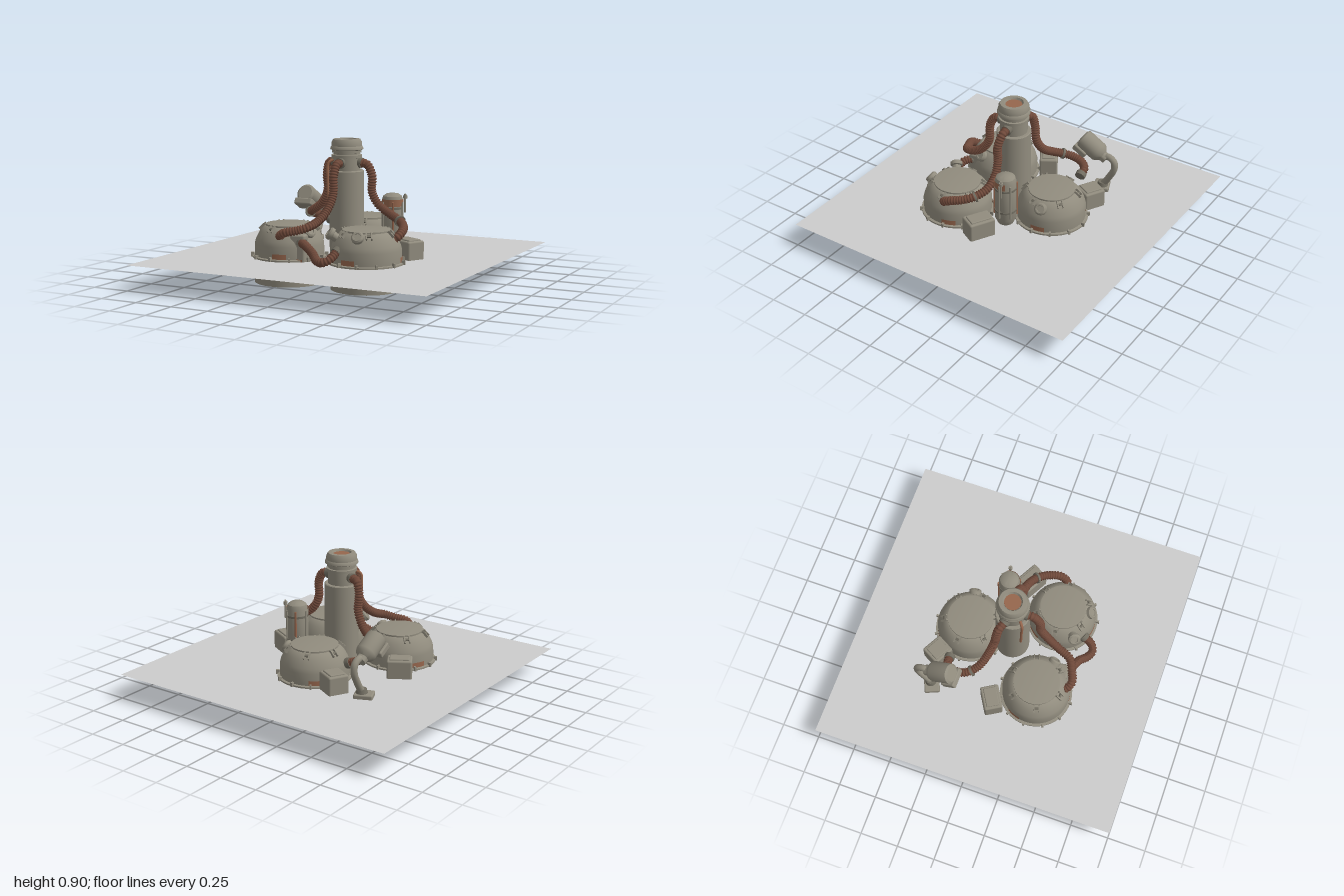
import * as THREE from 'three';
import { RoundedBoxGeometry } from 'three/addons/geometries/RoundedBoxGeometry.js';
import { toCreasedNormals } from 'three/addons/utils/BufferGeometryUtils.js';

const mat = (name, color, side = THREE.FrontSide) => {
  const m = new THREE.MeshStandardMaterial({ color, side });
  m.name = name;
  return m;
};
const V = (a) => new THREE.Vector3(...a);
const UP = new THREE.Vector3(0, 1, 0);

export function createModel() {
  const root = new THREE.Group();
  root.name = 'tankCluster';
  const metal = mat('weathered metal', 0x918c7e);
  const trim = mat('dark metal trim', 0x726e62);
  const hoseBrown = mat('hose brown', 0x704a3b);
  const rust = mat('rust', 0x96664d, THREE.DoubleSide);
  const groundGrey = mat('ground grey', 0xcccccc, THREE.DoubleSide);

  const add = (parent, name, geo, material, pos = [0, 0, 0], rotY = 0) => {
    const m = new THREE.Mesh(geo, material);
    m.name = name;
    m.position.set(...pos);
    m.rotation.y = rotY;
    parent.add(m);
    return m;
  };
  const group = (name, pos = [0, 0, 0], rotY = 0) => {
    const g = new THREE.Group();
    g.name = name;
    g.position.set(...pos);
    g.rotation.y = rotY;
    root.add(g);
    return g;
  };
  const lathe = (pts, seg = 40) =>
    toCreasedNormals(new THREE.LatheGeometry(pts.map((p) => new THREE.Vector2(...p)), seg), 0.6);
  const cyl = (r1, r2, h, seg = 20) => new THREE.CylinderGeometry(r1, r2, h, seg);
  // turn a mesh's +y axis along a direction
  const aim = (mesh, dir) => mesh.quaternion.setFromUnitVectors(UP, V(dir).normalize());

  // ground sheet
  const ground = add(root, 'groundSheet', new THREE.PlaneGeometry(2, 2), groundGrey, [0, 0.16, 0]);
  ground.rotation.x = -Math.PI / 2;

  // three domed tanks with flange, bolts, clips and rust patches
  const tankProfile = [[0, 0], [0.222, 0], [0.222, 0.148], [0.236, 0.15], [0.236, 0.17], [0.22, 0.173],
    [0.22, 0.25], [0.212, 0.28], [0.187, 0.328], [0.16, 0.358], [0.15, 0.362], [0.15, 0.372], [0.138, 0.374], [0, 0.374]];
  const tankGeo = lathe(tankProfile, 48);
  const boltGeo = new THREE.BoxGeometry(0.012, 0.045, 0.022);
  const tanks = [['leftFrontTank', 0.267, 0.255, 0.2], ['rightFrontTank', -0.275, 0.26, 0.5], ['rearTank', 0, -0.29, 0]];
  for (const [name, x, z, turn] of tanks) {
    const g = group(name, [x, 0, z], turn);
    add(g, 'tankBody', tankGeo, metal);
    for (let i = 0; i < 12; i++) {
      const a = (i / 12) * Math.PI * 2;
      add(g, 'flangeBolt', boltGeo, metal, [Math.sin(a) * 0.236, 0.165, Math.cos(a) * 0.236], a);
    }
    for (let i = 0; i < 6; i++) {
      const a = (i / 6) * Math.PI * 2 + 0.35;
      const clip = new THREE.Group();
      clip.name = 'lidClip';
      clip.position.set(Math.sin(a) * 0.172, 0.352, Math.cos(a) * 0.172);
      clip.rotation.set(0.75, a, 0, 'YXZ');
      for (const s of [-1, 1]) add(clip, 'clipLeg', new THREE.BoxGeometry(0.008, 0.018, 0.05), metal, [s * 0.016, 0, 0]);
      add(clip, 'clipBar', new THREE.BoxGeometry(0.032, 0.012, 0.014), trim);
      g.add(clip);
    }
    for (const a of [-0.5, 1.5, 3.6]) {
      add(g, 'rustPatch', new THREE.CylinderGeometry(0.2215, 0.2225, 0.032, 12, 1, true, a, 0.42), rust, [0, 0.19, 0]);
    }
  }

  // central chimney
  const chimney = group('chimney');
  add(chimney, 'column', lathe([[0, 0], [0.11, 0], [0.11, 0.695], [0.105, 0.7], [0.088, 0.7], [0.088, 0.78],
    [0.097, 0.782], [0.097, 0.8], [0.085, 0.802], [0.085, 0.812], [0.094, 0.814], [0.094, 0.828], [0, 0.828]]), metal);
  add(chimney, 'chimneyCap', lathe([[0, 0.826], [0.088, 0.826], [0.106, 0.834], [0.104, 0.848], [0.098, 0.855],
    [0.097, 0.88], [0.086, 0.899], [0.062, 0.9], [0.054, 0.885], [0, 0.885]]), metal);
  add(chimney, 'rustyVent', cyl(0.053, 0.053, 0.004, 28), rust, [0, 0.887, 0]);
  add(chimney, 'thinRustPipe', new THREE.TubeGeometry(new THREE.CatmullRomCurve3(
    [[-0.06, 0.77, 0.07], [-0.085, 0.75, 0.09], [-0.09, 0.65, 0.09], [-0.085, 0.48, 0.085]].map(V)), 24, 0.009, 8), rust);

  // ribbed hoses with end collars
  const hose = (name, pts, r = 0.027) => {
    const g = group(name);
    const curve = new THREE.CatmullRomCurve3(pts.map(V));
    const ribs = Math.round(curve.getLength() / 0.017);
    const geo = new THREE.TubeGeometry(curve, ribs * 4, r, 12);
    const p = geo.attributes.position, n = geo.attributes.normal;
    for (let i = 0; i < p.count; i++) {
      const d = [0.002, 0, -0.006, 0][Math.floor(i / 13) % 4];
      p.setXYZ(i, p.getX(i) + n.getX(i) * d, p.getY(i) + n.getY(i) * d, p.getZ(i) + n.getZ(i) * d);
    }
    geo.computeVertexNormals();
    add(g, 'ribbedHose', geo, hoseBrown);
    for (const t of [0, 1]) {
      const c = curve.getPointAt(t), d = curve.getTangentAt(t);
      aim(add(g, 'hoseCollar', cyl(r + 0.007, r + 0.007, 0.03), trim, c.toArray()), d.toArray());
    }
    return g;
  };
  hose('frontHose', [[0, 0.75, 0.09], [0, 0.745, 0.14], [0, 0.68, 0.18], [0, 0.56, 0.19], [-0.01, 0.47, 0.25],
    [-0.03, 0.41, 0.33], [-0.06, 0.38, 0.41], [-0.12, 0.36, 0.445], [-0.19, 0.345, 0.47], [-0.235, 0.32, 0.45], [-0.25, 0.3, 0.4]]);
  hose('leftHose', [[0.09, 0.75, -0.01], [0.14, 0.74, -0.01], [0.18, 0.67, 0], [0.18, 0.57, 0], [0.22, 0.49, -0.01],
    [0.31, 0.43, -0.01], [0.39, 0.4, 0.03], [0.44, 0.38, 0.09], [0.47, 0.36, 0.17], [0.46, 0.33, 0.22], [0.42, 0.3, 0.23]]);
  hose('rightHose', [[-0.09, 0.75, -0.02], [-0.145, 0.74, -0.04], [-0.17, 0.66, -0.05], [-0.17, 0.56, -0.06], [-0.22, 0.47, -0.08],
    [-0.31, 0.41, -0.12], [-0.37, 0.38, -0.19], [-0.375, 0.36, -0.28], [-0.34, 0.34, -0.325], [-0.29, 0.32, -0.33]]);
  hose('lowHose', [[-0.11, 0.28, 0.4], [-0.06, 0.27, 0.44], [0, 0.23, 0.46], [0.05, 0.195, 0.5],
    [0.1, 0.19, 0.52], [0.14, 0.21, 0.5], [0.16, 0.25, 0.44]]);

  // hose ring clamps
  for (const [x, y, z, d] of [[0.39, 0.4, 0.03, [0.06, -0.025, 0.05]], [-0.35, 0.39, -0.155, [-0.5, -0.25, -0.6]]]) {
    aim(add(root, 'hoseClamp', cyl(0.036, 0.036, 0.014), trim, [x, y, z]), d);
  }

  // capped ports on the tank shoulders
  const portGeo = lathe([[0, -0.05], [0.028, -0.05], [0.028, 0.01], [0.04, 0.014], [0.04, 0.034], [0.03, 0.042],
    [0.022, 0.042], [0.02, 0.036], [0, 0.036]], 20);
  for (const [x, y, z, d] of [[0.105, 0.335, 0.38, [-0.7, 0.65, 0.5]], [0.297, 0.33, 0.42, [0.1, 0.6, 0.75]],
    [0.17, 0.315, -0.325, [0.9, 0.6, -0.15]], [-0.115, 0.325, 0.315, [0.85, 0.6, 0.3]]]) {
    aim(add(root, 'cappedPort', portGeo, metal, [x, y, z]), d);
  }

  // equipment boxes beside the tanks
  const boxes = [[-0.25, -0.43, -0.5, 0.145, 0.135], [-0.44, 0.01, 0.54, 0.16, 0.12], [0.425, -0.02, -0.5, 0.175, 0.125]];
  for (const [x, z, turn, w, d] of boxes) {
    const g = group('equipmentBox', [x, 0.21, z], turn);
    add(g, 'boxBody', new RoundedBoxGeometry(w, 0.135, d, 2, 0.012), metal);
    add(g, 'boxLid', new RoundedBoxGeometry(w - 0.035, 0.02, d - 0.035, 2, 0.006), metal, [0, 0.066, 0]);
    add(g, 'rustBase', new THREE.BoxGeometry(w * 0.6, 0.006, d * 0.6), rust, [0, -0.067, 0]);
  }

  // junction box between the front tanks
  const junction = group('junctionBox', [-0.135, 0.21, 0.385], 0.15);
  add(junction, 'junctionBody', new RoundedBoxGeometry(0.1, 0.24, 0.08, 2, 0.015), metal);
  add(junction, 'rustPlate', new THREE.BoxGeometry(0.07, 0.07, 0.005), rust, [0, -0.07, 0.04]);

  // upright gas cylinder with bands, rods and valve
  const bottle = group('gasCylinder', [0.268, 0, -0.118]);
  add(bottle, 'cylinderBody', lathe([[0, 0.2], [0.05, 0.2], [0.068, 0.24], [0.068, 0.51], [0.06, 0.535], [0.04, 0.55], [0, 0.553]], 28), metal);
  for (const y of [0.3, 0.46]) add(bottle, 'band', cyl(0.071, 0.071, 0.014, 28), trim, [0, y, 0]);
  add(bottle, 'rustBand', new THREE.CylinderGeometry(0.0695, 0.0695, 0.045, 20, 1, true, -0.8, 2.9), rust, [0, 0.494, 0]);
  for (let i = 0; i < 6; i++) {
    const a = (i / 6) * Math.PI * 2 + 0.5;
    add(bottle, 'sideRod', cyl(0.007, 0.007, 0.24, 8), i % 3 ? metal : rust, [Math.sin(a) * 0.07, 0.38, Math.cos(a) * 0.07]);
  }
  add(bottle, 'valveRod', cyl(0.007, 0.007, 0.12, 8), metal, [0.08, 0.49, -0.02]);
  add(bottle, 'valveKnob', cyl(0.013, 0.013, 0.02, 10), metal, [0.08, 0.53, -0.02]);

  // hooded lamp on a curved stalk
  const lamp = group('lamp', [-0.443, 0, 0]);
  const back = [0, -0.5, -0.866];
  const head = add(lamp, 'lampHead', lathe([[0, -0.09], [0.05, -0.09], [0.064, -0.08], [0.066, 0.05], [0.058, 0.07],
    [0.036, 0.09], [0.034, 0.12], [0, 0.12]], 28), metal, [0, 0.455, -0.325]);
  aim(head, back);
  const visor = add(lamp, 'lampVisor', new RoundedBoxGeometry(0.13, 0.045, 0.1, 2, 0.01), metal, [0, 0.425, -0.255]);
  visor.rotation.x = -0.5;
  add(lamp, 'stalk', new THREE.TubeGeometry(new THREE.CatmullRomCurve3(
    [[0, 0.41, -0.41], [0, 0.415, -0.45], [0, 0.39, -0.487], [0, 0.34, -0.492], [0, 0.27, -0.46], [0, 0.19, -0.41]].map(V)), 32, 0.022, 12), metal);
  add(lamp, 'stalkCollar', cyl(0.03, 0.038, 0.03), trim, [0, 0.2, -0.41]);
  add(lamp, 'stalkFoot', new RoundedBoxGeometry(0.12, 0.045, 0.1, 2, 0.01), metal, [-0.01, 0.165, -0.4], 0.4);

  return root;
}
